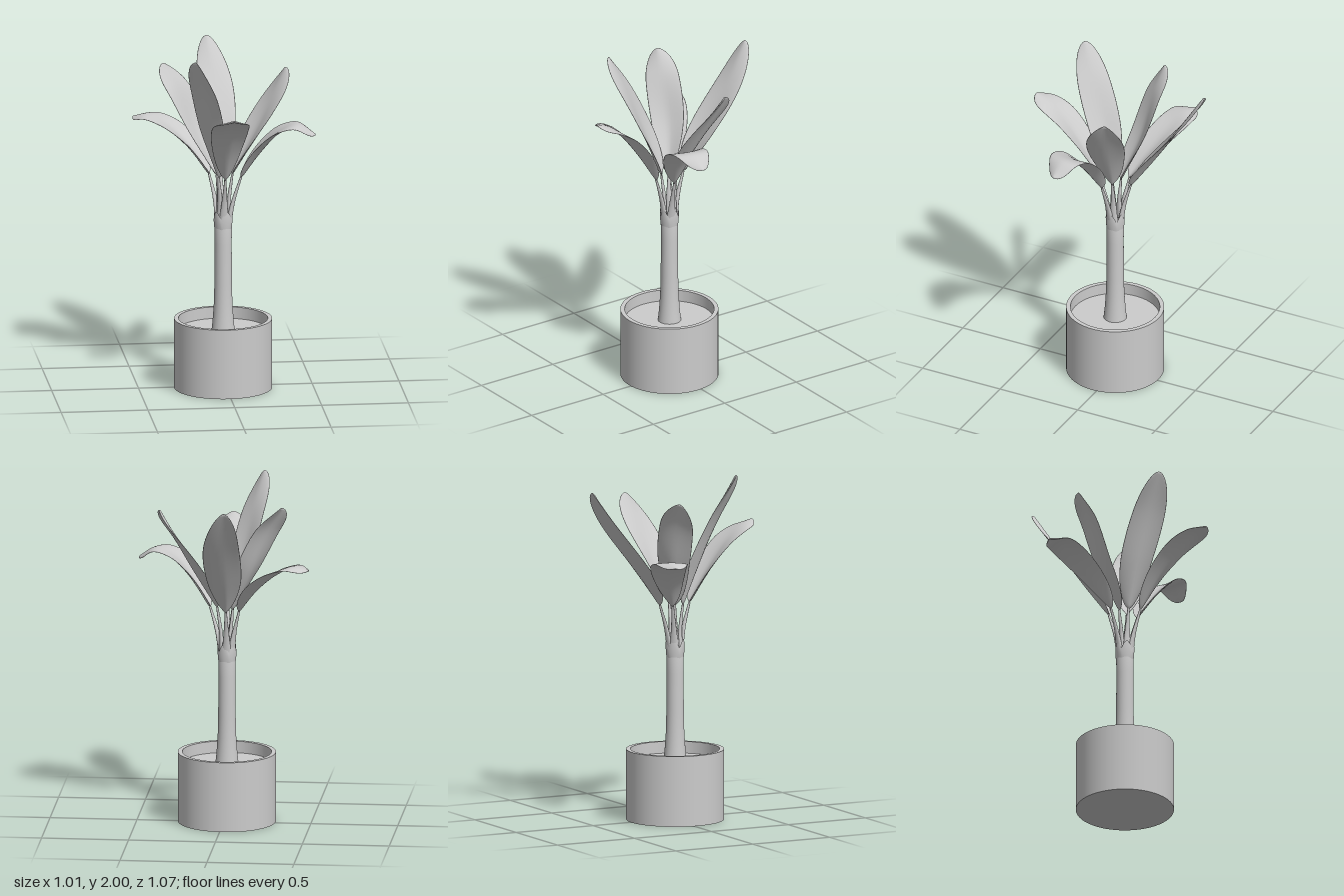
import * as THREE from 'three';
import { mergeVertices } from 'three/addons/utils/BufferGeometryUtils.js';

const CX = -0.015, CZ = 0.025; // pot and trunk axis
const UP = new THREE.Vector3(0, 1, 0);
const material = new THREE.MeshStandardMaterial({ color: 0xcccccc, side: THREE.DoubleSide });

// Grid surface from a rule fn(u, v) -> Vector3
function loft(nu, nv, fn) {
  const pos = [], idx = [];
  for (let i = 0; i <= nu; i++)
    for (let j = 0; j <= nv; j++) pos.push(...fn(i / nu, j / nv).toArray());
  for (let i = 0; i < nu; i++)
    for (let j = 0; j < nv; j++) {
      const a = i * (nv + 1) + j, b = a + nv + 1;
      idx.push(a, b, a + 1, b, b + 1, a + 1);
    }
  const g = new THREE.BufferGeometry();
  g.setAttribute('position', new THREE.Float32BufferAttribute(pos, 3));
  g.setIndex(idx);
  const merged = mergeVertices(g, 1e-5);
  merged.computeVertexNormals();
  return merged;
}

function add(group, name, geometry) {
  const m = new THREE.Mesh(geometry, material);
  m.name = name;
  group.add(m);
  return m;
}

// Point, sideways and upper-face directions along a curve, rolled about its tangent
function frame(curve, t, roll = 0) {
  const p = curve.getPoint(t), tan = curve.getTangent(t);
  const out = curve.getPoint(1).sub(curve.getPoint(0)).setY(0).normalize();
  const side = new THREE.Vector3().crossVectors(out, UP).applyAxisAngle(tan, roll);
  const normal = new THREE.Vector3().crossVectors(side, tan).normalize();
  return { p, side, normal };
}

// Blade: thin closed oval, channelled near the stalk and arching over at the tip
function bladeGeometry(points, halfWidth, roll) {
  const curve = new THREE.CatmullRomCurve3(points);
  const peak = 0.52 ** 0.6 * 0.48 ** 0.55;
  return loft(40, 28, (u, v) => {
    const t = (1 - Math.cos(u * Math.PI)) / 2; // finer rows at both ends
    const { p, side, normal } = frame(curve, t, roll);
    const w = halfWidth * Math.max(t ** 0.6 * (1 - t) ** 0.55 / peak, t < 0.5 ? 0.07 : 0);
    const a = v * Math.PI * 2, s = Math.cos(a);
    const fold = 0.6 - 0.9 * t;
    const thick = 0.006 * Math.sin(a) * Math.min(1, w / 0.02);
    return p.addScaledVector(side, s * w)
      .addScaledVector(normal, w * fold * Math.abs(s) ** 1.4 + thick);
  });
}

// Stalk: flat oval section, broad where it leaves the trunk
function stalkGeometry(base) {
  const out = new THREE.Vector3(base.x - CX, 0, base.z - CZ).normalize();
  const foot = new THREE.Vector3(CX, 0.96, CZ).addScaledVector(out, 0.03);
  const mid = foot.clone().lerp(base, 0.5).addScaledVector(out, -0.008);
  const curve = new THREE.CatmullRomCurve3([foot, mid, base]);
  return loft(14, 12, (u, v) => {
    const { p, side, normal } = frame(curve, u);
    const a = v * Math.PI * 2, w = 0.007 + 0.024 * (1 - u) ** 1.3;
    return p.addScaledVector(side, Math.cos(a) * w)
      .addScaledVector(normal, Math.sin(a) * (0.006 + 0.01 * (1 - u)));
  });
}

// Midrib line of each blade from stalk to tip, its half width and its roll
const LEAVES = [
  { name: 'backLeaf', w: 0.108, roll: 0, pts: [[-0.018, 1.25, -0.075], [-0.02, 1.45, -0.215], [-0.02, 1.7, -0.38], [-0.05, 1.94, -0.532]] },
  { name: 'backRightLowLeaf', w: 0.105, roll: 0, pts: [[-0.09, 1.25, -0.03], [-0.2, 1.40, -0.115], [-0.32, 1.51, -0.18], [-0.42, 1.56, -0.215], [-0.507, 1.545, -0.238]] },
  { name: 'backRightHighLeaf', w: 0.102, roll: -0.35, pts: [[-0.05, 1.25, 0.005], [-0.16, 1.5, -0.07], [-0.265, 1.75, -0.1], [-0.35, 1.885, -0.125]] },
  { name: 'backLeftLeaf', w: 0.11, roll: 0, pts: [[0.04, 1.26, 0.015], [0.18, 1.5, -0.02], [0.28, 1.69, -0.06], [0.362, 1.85, -0.1]] },
  { name: 'frontLeftLeaf', w: 0.108, roll: 0, pts: [[0.085, 1.25, 0.06], [0.2, 1.42, 0.105], [0.3, 1.53, 0.135], [0.4, 1.57, 0.15], [0.503, 1.51, 0.155]] },
  { name: 'frontLeaf', w: 0.108, roll: 0, pts: [[-0.012, 1.25, 0.12], [-0.012, 1.45, 0.25], [-0.01, 1.59, 0.36], [-0.008, 1.665, 0.45], [-0.006, 1.7, 0.532]] },
  { name: 'frontRightLeaf', w: 0.1, roll: -0.25, pts: [[-0.045, 1.25, 0.06], [-0.1, 1.5, 0.135], [-0.15, 1.79, 0.235], [-0.205, 2.0, 0.32]] },
];

export function createModel() {
  const group = new THREE.Group();

  // Straight pot with a recessed bed of soil; each face keeps sharp edges
  const pot = new THREE.Group();
  pot.name = 'pot';
  pot.position.set(CX, 0, CZ);
  group.add(pot);
  const ring = (name, ...pts) =>
    add(pot, name, new THREE.LatheGeometry(pts.map(p => new THREE.Vector2(...p)), 64));
  ring('potBottom', [0, 0], [0.281, 0]);
  ring('potWall', [0.281, 0], [0.281, 0.408]);
  ring('potRim', [0.281, 0.408], [0.256, 0.408]);
  ring('potInnerWall', [0.256, 0.408], [0.256, 0.34]);
  ring('soil', [0.256, 0.34], [0, 0.34]);

  // Trunk flaring at the foot
  ring('trunk', [0.066, 0.34], [0.06, 0.4], [0.053, 0.5], [0.05, 0.62], [0.049, 0.85], [0.05, 0.98], [0.035, 1.0], [0, 1.0]);

  // Scalloped sheath of old leaf bases round the trunk top
  add(group, 'sheath', loft(6, 70, (u, v) => {
    const a = v * Math.PI * 2;
    const top = 1.0 + 0.045 * Math.abs(Math.cos(a * 2.5));
    const r = 0.048 + 0.006 * Math.sin(u * Math.PI * 0.7);
    return new THREE.Vector3(CX + r * Math.cos(a), THREE.MathUtils.lerp(0.93, top, u), CZ + r * Math.sin(a));
  }));

  // Leaves, each a stalk and a blade
  for (const { name, w, roll, pts } of LEAVES) {
    const leaf = new THREE.Group();
    leaf.name = name;
    const points = pts.map(p => new THREE.Vector3(...p));
    add(leaf, 'stalk', stalkGeometry(points[0]));
    add(leaf, 'blade', bladeGeometry(points, w, roll));
    group.add(leaf);
  }
  return group;
}
